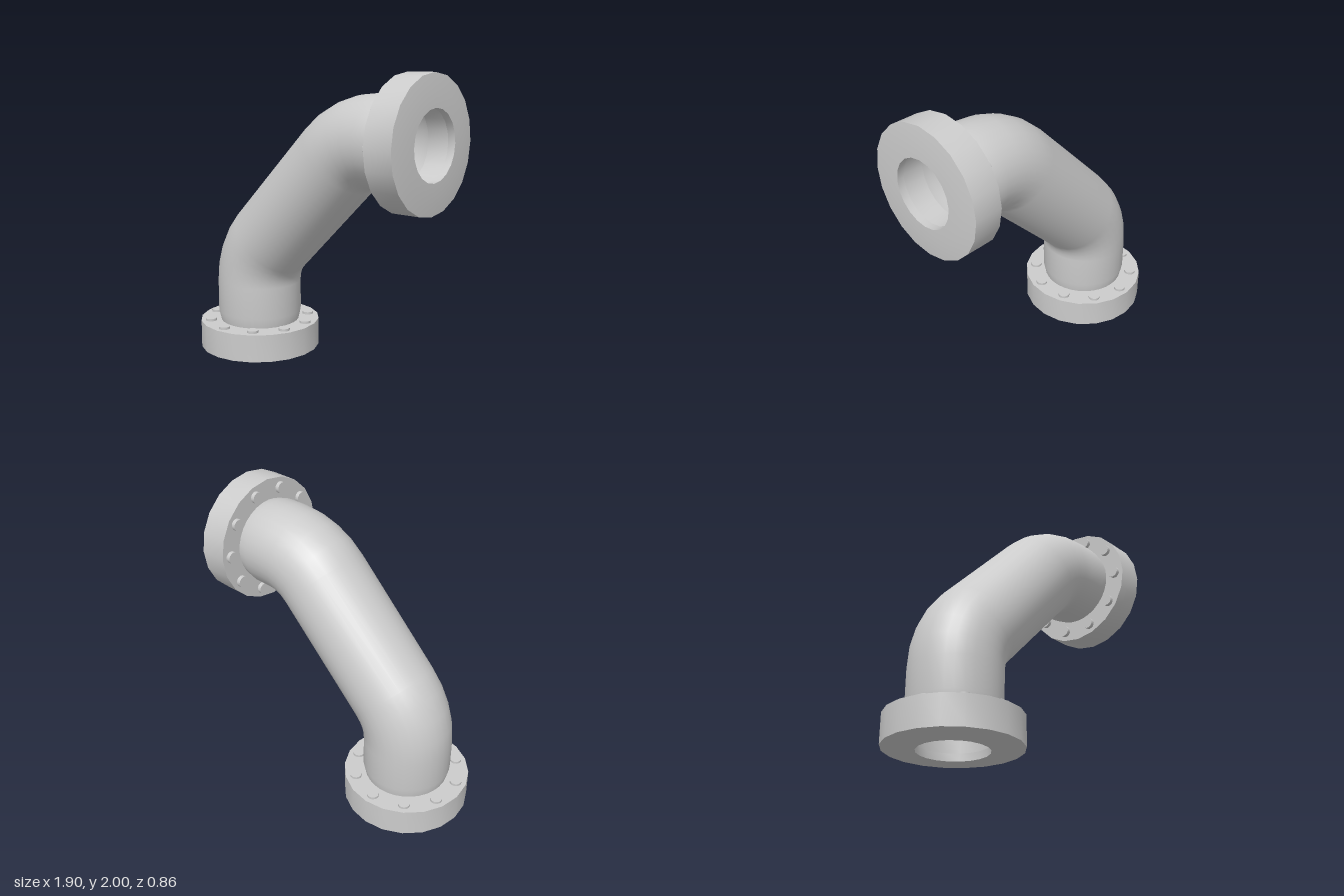
import * as THREE from 'three';
import { toCreasedNormals } from 'three/addons/utils/BufferGeometryUtils.js';

const material = new THREE.MeshStandardMaterial({ color: 0xcccccc });
const pipeMaterial = new THREE.MeshStandardMaterial({ color: 0xcccccc, side: THREE.DoubleSide });

// Bent tube: rings of varying radius along a path in the x-y plane
function pipeGeometry() {
  const rings = []; // [x, y, angle from vertical, radius]
  const addBend = (cx, cy, from, to, steps = 4, R = 0.45) => {
    for (let i = 0; i <= steps; i++) {
      const t = from + (to - from) * i / steps;
      rings.push([cx - R * Math.cos(t), cy + R * Math.sin(t), t, 0.3]);
    }
  };
  rings.push([-0.52, 0.19, 0, 0.28], [-0.52, 0.28, 0, 0.3]);
  addBend(-0.07, 0.5, 0, Math.PI / 4);
  addBend(0.55, 1.12, Math.PI / 4, Math.PI / 2);
  rings.push([0.67, 1.57, Math.PI / 2, 0.3], [0.76, 1.57, Math.PI / 2, 0.28]);

  const sides = 32, positions = [], indices = [];
  rings.forEach(([x, y, t, r], i) => {
    for (let j = 0; j < sides; j++) {
      const a = j / sides * Math.PI * 2, n = r * Math.cos(a);
      positions.push(x - n * Math.cos(t), y + n * Math.sin(t), r * Math.sin(a));
      if (i === rings.length - 1) continue;
      const k = (j + 1) % sides, p = i * sides, q = p + sides;
      indices.push(p + j, p + k, q + j, p + k, q + k, q + j);
    }
  });
  const geometry = new THREE.BufferGeometry();
  geometry.setAttribute('position', new THREE.Float32BufferAttribute(positions, 3));
  geometry.setIndex(indices);
  geometry.computeVertexNormals();
  return geometry;
}

// Flange with its outer face at y = 0, plus a circle of bolt heads on the back
function makeFlange(name, boltHeight) {
  const flange = new THREE.Group();
  flange.name = name;
  const profile = [
    [0.225, 0], [0.33, 0.003], [0.432, 0.015], [0.432, 0.21], [0.25, 0.21],
    [0.25, 0.05], [0.225, 0.05], [0.225, 0]
  ].map(([r, y]) => new THREE.Vector2(r, y));
  const ring = new THREE.Mesh(toCreasedNormals(new THREE.LatheGeometry(profile, 20), 0.6), material);
  ring.name = name + 'Ring';
  flange.add(ring);

  const boltGeometry = new THREE.CylinderGeometry(0.04, 0.04, boltHeight + 0.02, 16);
  for (let i = 0; i < 10; i++) {
    const a = i / 10 * Math.PI * 2;
    const bolt = new THREE.Mesh(boltGeometry, material);
    bolt.name = 'bolt';
    bolt.position.set(0.36 * Math.sin(a), 0.2 + boltHeight / 2, 0.36 * Math.cos(a));
    flange.add(bolt);
  }
  return flange;
}

export function createModel() {
  const model = new THREE.Group();
  model.name = 'pipeElbow';

  const pipe = new THREE.Mesh(pipeGeometry(), pipeMaterial);
  pipe.name = 'pipe';

  const baseFlange = makeFlange('baseFlange', 0.017);
  baseFlange.position.set(-0.52, 0, 0);

  const sideFlange = makeFlange('sideFlange', 0.027);
  sideFlange.rotation.z = Math.PI / 2;
  sideFlange.position.set(0.95, 1.568, 0);

  model.add(pipe, baseFlange, sideFlange);
  return model;
}
